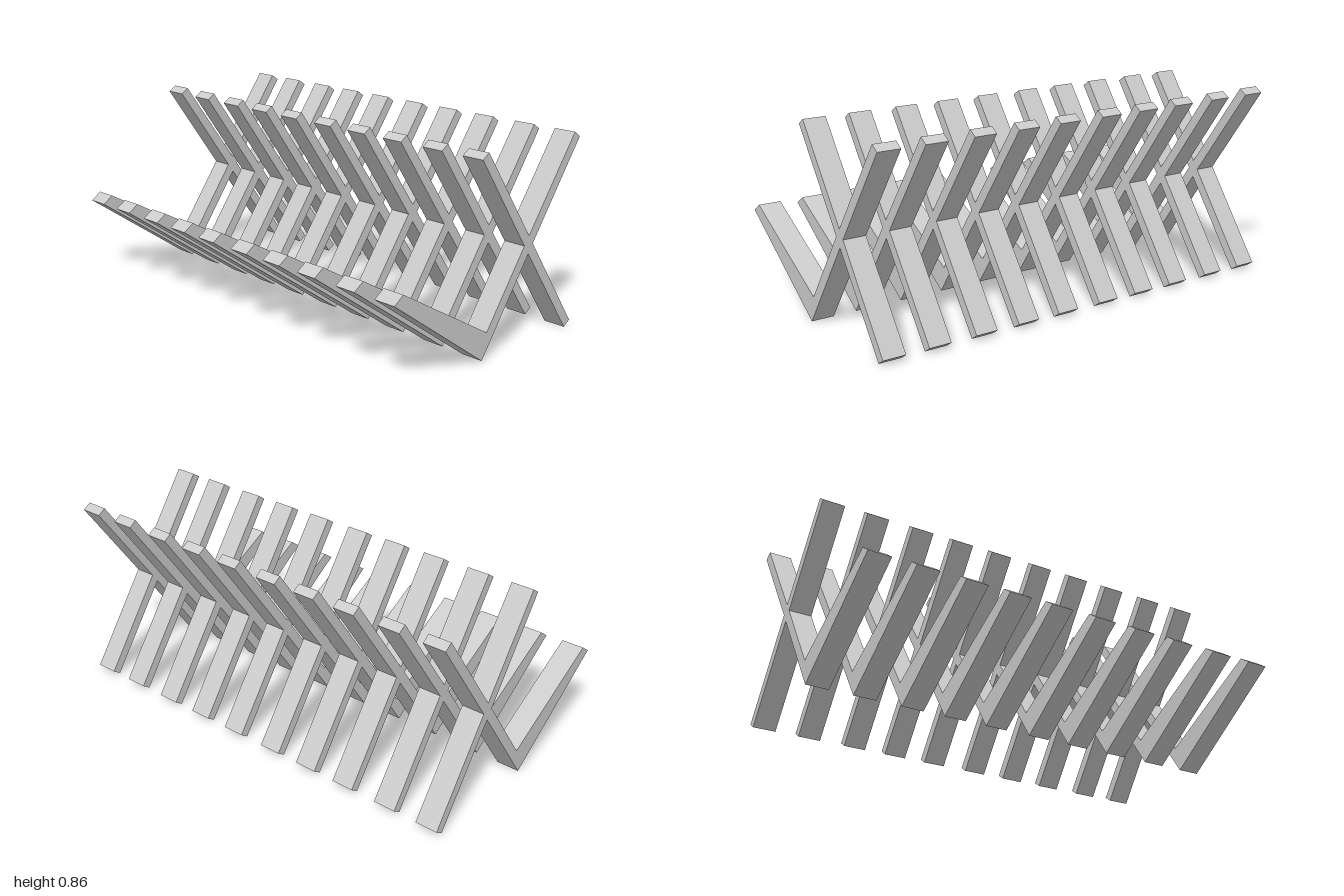
import * as THREE from 'three';

const SLAT_WIDTH = 0.102;

// Centre of each slat across the bench; the spacing is slightly uneven
const SLAT_CENTRES = [-0.949, -0.74, -0.521, -0.318, -0.115, 0.104, 0.311, 0.52, 0.741, 0.949];

// Side outline of one slat as [z, y]: tapered seat, reclined back and crossing strut
const OUTLINE = [
  [0.035, 0],       // heel
  [0.55, 0.362],    // seat front edge
  [0.502, 0.396],
  [0.01, 0.115],    // seat meets back
  [-0.21, 0.43],    // front of crossing
  [0.072, 0.833],   // strut top
  [0.037, 0.857],
  [-0.238, 0.468],  // top of crossing
  [-0.515, 0.857],  // back top
  [-0.55, 0.833],
  [-0.265, 0.43],   // rear of crossing
  [-0.55, 0.024],   // strut foot
  [-0.515, 0],
  [-0.238, 0.391],  // underside of crossing
];

function createSlatGeometry() {
  const shape = new THREE.Shape(OUTLINE.map(([z, y]) => new THREE.Vector2(z, y)));
  const geometry = new THREE.ExtrudeGeometry(shape, { depth: SLAT_WIDTH, bevelEnabled: false });
  geometry.translate(0, 0, -SLAT_WIDTH / 2);
  geometry.rotateY(-Math.PI / 2); // outline runs along z, thickness along x
  return geometry;
}

export function createModel() {
  const bench = new THREE.Group();
  bench.name = 'slattedBench';
  const material = new THREE.MeshStandardMaterial({ color: 0xcccccc, flatShading: true });
  const geometry = createSlatGeometry();

  // Row of identical slats
  SLAT_CENTRES.forEach((x, i) => {
    const slat = new THREE.Mesh(geometry, material);
    slat.name = `benchSlat${i + 1}`;
    slat.position.x = x;
    bench.add(slat);
  });
  return bench;
}
